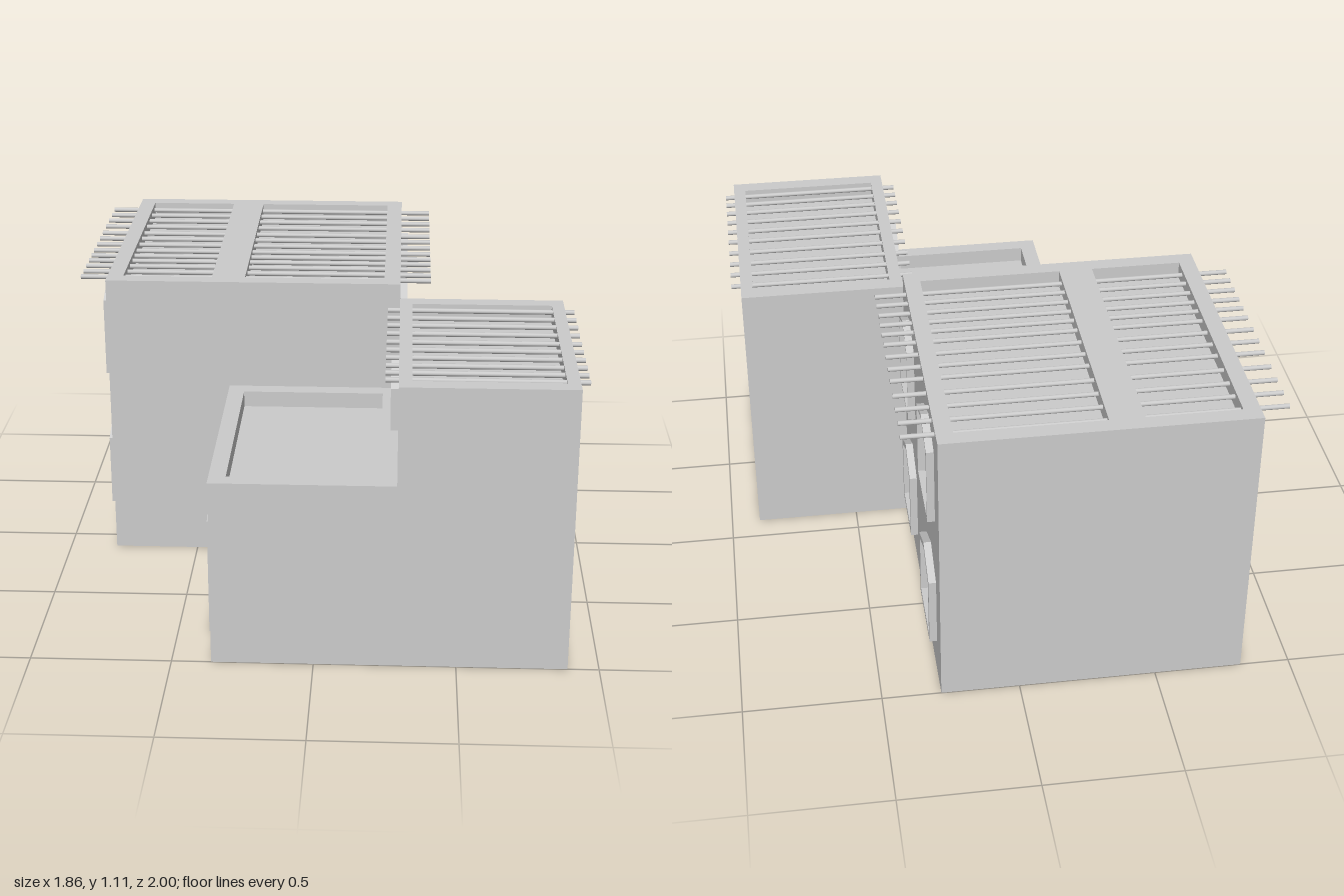
import * as THREE from 'three';

const mat = new THREE.MeshStandardMaterial({ color: 0xcccccc, flatShading: true });
const smooth = new THREE.MeshStandardMaterial({ color: 0xcccccc });
const DEPTH = 0.06; // depth of the sunken roofs

function add(parent, name, geometry, material = mat) {
  const mesh = new THREE.Mesh(geometry, material);
  mesh.name = name;
  parent.add(mesh);
  return mesh;
}

function rect(target, x0, x1, z0, z1) {
  // shape y is -z, so that the extrusion can be turned upright
  target.moveTo(x0, -z1);
  target.lineTo(x1, -z1);
  target.lineTo(x1, -z0);
  target.lineTo(x0, -z0);
  target.closePath();
  return target;
}

// Solid block with a parapet around each sunken roof
function block(name, x0, x1, z0, z1, height, wells) {
  const group = new THREE.Group();
  group.name = name;
  const floor = height - DEPTH;
  add(group, name + 'Walls', new THREE.BoxGeometry(x1 - x0, floor, z1 - z0))
    .position.set((x0 + x1) / 2, floor / 2, (z0 + z1) / 2);
  const shape = rect(new THREE.Shape(), x0, x1, z0, z1);
  for (const w of wells) shape.holes.push(rect(new THREE.Path(), ...w));
  const rim = new THREE.ExtrudeGeometry(shape, { depth: DEPTH, bevelEnabled: false });
  rim.rotateX(-Math.PI / 2);
  add(group, name + 'Parapet', rim).position.y = floor;
  return group;
}

// Row of roof beams running along x
function beams(name, x0, x1, y, zs) {
  const group = new THREE.Group();
  group.name = name;
  const geometry = new THREE.CylinderGeometry(0.009, 0.009, x1 - x0, 10);
  geometry.rotateZ(Math.PI / 2);
  for (const z of zs) add(group, 'beam', geometry, smooth).position.set((x0 + x1) / 2, y, z);
  return group;
}

function gable(target, w, bottom, shoulder, apex) {
  target.moveTo(-w, bottom);
  target.lineTo(w, bottom);
  target.lineTo(w, shoulder);
  target.lineTo(0, apex);
  target.lineTo(-w, shoulder);
  target.closePath();
  return target;
}

// Pointed frame on a wall at x, standing out towards side (+1 or -1)
function frame(name, x, side, z0, z1, bottom, shoulder, apex, t) {
  const w = (z1 - z0) / 2;
  const shape = gable(new THREE.Shape(), w, bottom, shoulder, apex);
  shape.holes.push(gable(new THREE.Path(), w - t, bottom + t, shoulder - t * 0.7, apex - t * 1.1));
  const geometry = new THREE.ExtrudeGeometry(shape, { depth: 0.027, bevelEnabled: false });
  geometry.rotateY(side * Math.PI / 2);
  const mesh = new THREE.Mesh(geometry, mat);
  mesh.name = name;
  mesh.position.set(x, 0, (z0 + z1) / 2);
  return mesh;
}

export function createModel() {
  const house = new THREE.Group();
  house.name = 'house';

  // Blocks
  house.add(block('rearBlock', -0.82, 0.285, -1, 0.1, 1.105,
    [[-0.76, -0.425, -0.94, 0.04], [-0.3, 0.225, -0.94, 0.04]]));
  house.add(block('frontTerrace', -0.36, 0.285, 0.1, 1, 0.69, [[-0.3, 0.225, 0.16, 0.94]]));
  house.add(block('frontTower', 0.285, 0.89, 0.1, 1, 1.05, [[0.33, 0.845, 0.16, 0.94]]));

  // Roof beams
  house.add(beams('rearBeams', -0.93, 0.4, 1.082,
    [-0.91, -0.83, -0.75, -0.667, -0.575, -0.5, -0.422, -0.342, -0.275, -0.212, -0.145, -0.077, -0.013]));
  house.add(beams('towerBeams', 0.24, 0.925, 1.04,
    [0.205, 0.29, 0.37, 0.455, 0.542, 0.62, 0.697, 0.773, 0.842, 0.907]));

  // Windows on both sides of the rear block
  for (const [x, side] of [[0.285, 1], [-0.82, -1]]) {
    for (const [z0, z1] of [[-0.885, -0.59], [-0.265, 0]]) {
      house.add(frame('upperWindow', x, side, z0, z1, 0.695, 0.99, 1.047, 0.011));
      house.add(frame('lowerWindow', x, side, z0, z1, 0.148, 0.42, 0.488, 0.021));
    }
  }

  // Terrace window and side door
  house.add(frame('terraceWindow', 0.285, -1, 0.53, 0.775, 0.8, 0.955, 1.022, 0.018));
  house.add(frame('doorFrame', -0.36, -1, 0.53, 0.78, 0, 0.44, 0.52, 0.02));

  return house;
}
